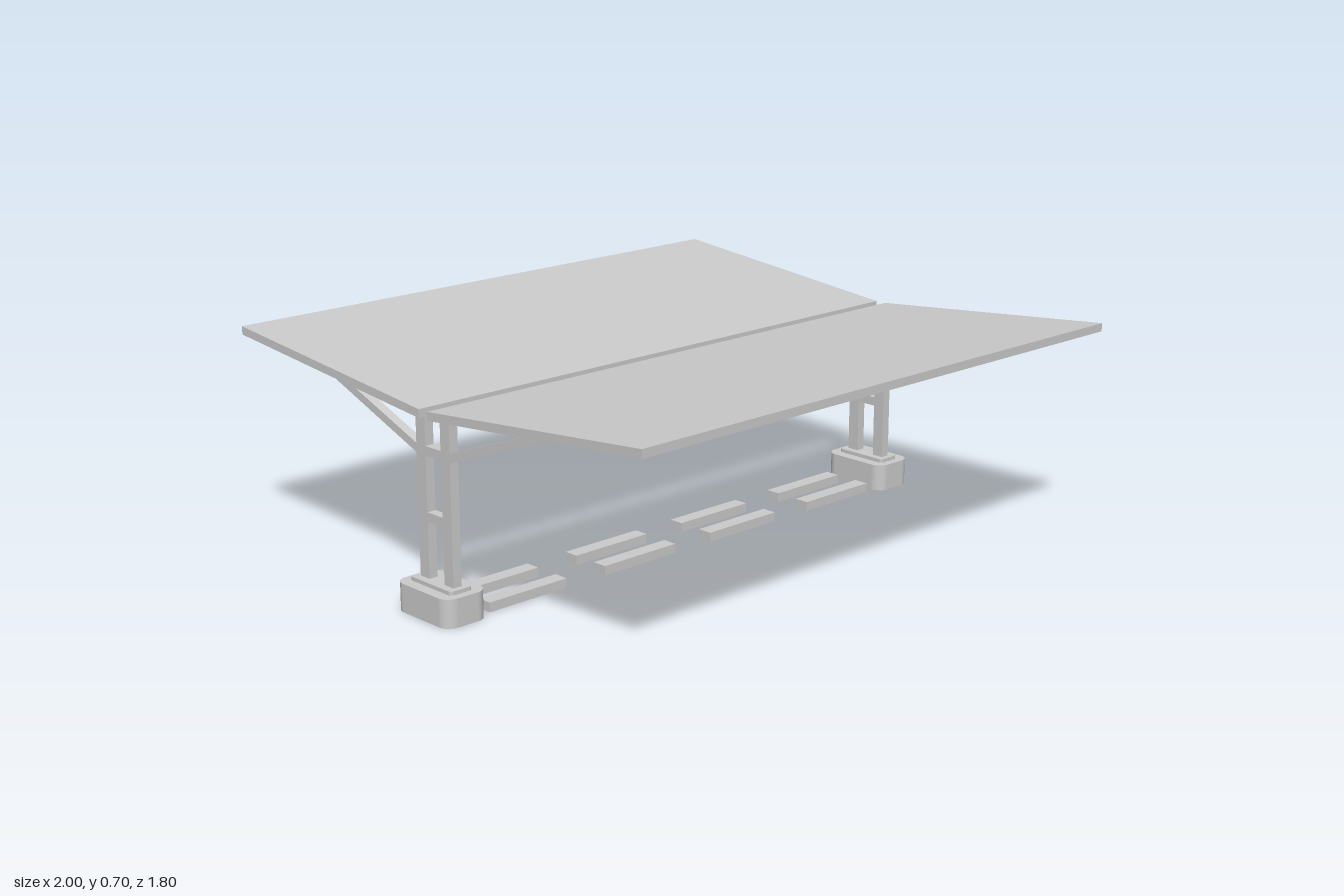
import * as THREE from 'three';

const material = new THREE.MeshStandardMaterial({ color: 0xcccccc, side: THREE.DoubleSide });

function add(parent, name, geometry, x = 0, y = 0, z = 0) {
  const mesh = new THREE.Mesh(geometry, material);
  mesh.name = name;
  mesh.position.set(x, y, z);
  parent.add(mesh);
  return mesh;
}

// Rectangle with rounded corners, centred on the origin
function roundedRect(w, d, r) {
  const s = new THREE.Shape();
  const a = w / 2 - r, b = d / 2 - r;
  s.absarc(a, b, r, 0, Math.PI / 2);
  s.absarc(-a, b, r, Math.PI / 2, Math.PI);
  s.absarc(-a, -b, r, Math.PI, Math.PI * 1.5);
  s.absarc(a, -b, r, Math.PI * 1.5, Math.PI * 2);
  s.closePath();
  return s;
}

// Upright rounded block standing on y = 0
function block(w, h, d, r) {
  const g = new THREE.ExtrudeGeometry(roundedRect(w, d, r), { depth: h, bevelEnabled: false, curveSegments: 8 });
  return g.rotateX(-Math.PI / 2);
}

// Remove the faces lying on y = 0 to leave a shell open underneath
function openBottom(geometry) {
  const g = geometry.index ? geometry.toNonIndexed() : geometry;
  const p = g.attributes.position;
  const kept = [];
  for (let i = 0; i < p.count; i += 3) {
    if (Math.max(p.getY(i), p.getY(i + 1), p.getY(i + 2)) < 1e-4) continue;
    for (let k = i; k < i + 3; k++) kept.push(p.getX(k), p.getY(k), p.getZ(k));
  }
  const out = new THREE.BufferGeometry();
  out.setAttribute('position', new THREE.Float32BufferAttribute(kept, 3));
  out.computeVertexNormals();
  return out;
}

// Side profile of [z, y] points, extruded across x; side = -1 mirrors it to the back
function profile(points, width, side) {
  const s = new THREE.Shape(points.map(([z, y]) => new THREE.Vector2(-z * side, y)));
  const g = new THREE.ExtrudeGeometry(s, { depth: width, bevelEnabled: false });
  return g.translate(0, 0, -width / 2).rotateY(Math.PI / 2);
}

export function createModel() {
  const model = new THREE.Group();
  model.name = 'carport';

  // Two roof panels rising away from the central gap
  for (const side of [1, -1]) {
    const roof = [[0.019, 0.592], [0.9, 0.676], [0.9, 0.702], [0.019, 0.618]];
    add(model, side > 0 ? 'frontRoofPanel' : 'backRoofPanel', profile(roof, 1.94, side));
  }

  // A support at each end: footing, twin posts, rungs and braces
  for (const end of [1, -1]) {
    const support = new THREE.Group();
    support.name = end > 0 ? 'leftSupport' : 'rightSupport';
    support.position.x = end * 0.924;
    model.add(support);

    add(support, 'footing', openBottom(block(0.152, 0.088, 0.244, 0.04)));
    add(support, 'basePlate', block(0.08, 0.012, 0.19, 0.012), 0, 0.088, 0);

    for (const side of [1, -1]) {
      const post = [[0.035, 0.1], [0.076, 0.1], [0.076, 0.599], [0.035, 0.595]];
      const brace = [[0.07, 0.471], [0.53, 0.642], [0.44, 0.635], [0.07, 0.499]];
      add(support, 'post', profile(post, 0.03, side));
      add(support, 'brace', profile(brace, 0.03, side));
    }
    for (const y of [0.288, 0.486]) {
      add(support, 'rung', new THREE.BoxGeometry(0.03, 0.029, 0.072), 0, y, 0);
    }
  }

  // Two rows of wheel stops, open underneath
  const stop = openBottom(new THREE.BoxGeometry(0.295, 0.03, 0.05).translate(0, 0.015, 0));
  for (const x of [-0.673, -0.225, 0.222, 0.67]) {
    for (const z of [0.065, -0.065]) add(model, 'wheelStop', stop, x, 0, z);
  }

  return model;
}
